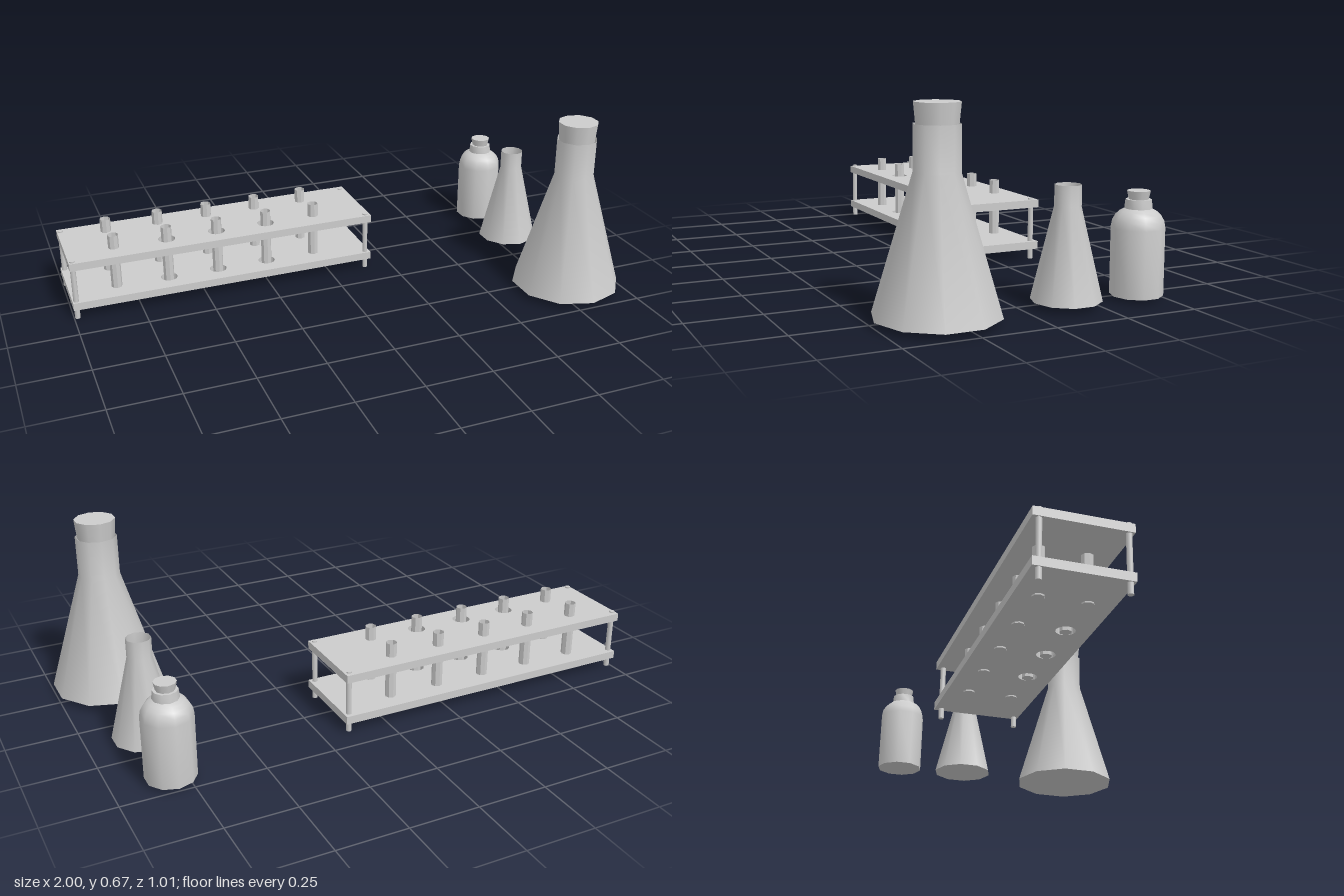
import * as THREE from 'three';
import { toCreasedNormals } from 'three/addons/utils/BufferGeometryUtils.js';

const grey = new THREE.MeshStandardMaterial({ color: 0xcccccc });
const glass = new THREE.MeshStandardMaterial({ color: 0xcccccc, side: THREE.DoubleSide });

function part(parent, name, geometry, material, x, y, z) {
  const mesh = new THREE.Mesh(geometry, material);
  mesh.name = name;
  mesh.position.set(x, y, z);
  parent.add(mesh);
  return mesh;
}

// Faceted vessel from [radius, height] pairs, smooth round the sides, crisp at the rims
function turned(profile, sides = 10) {
  const points = profile.map(([r, y]) => new THREE.Vector2(r, y));
  return toCreasedNormals(new THREE.LatheGeometry(points, sides), 0.7);
}

function stopper(parent, rBottom, rTop, y0, y1, z) {
  const h = y1 - y0;
  part(parent, 'stopper', new THREE.CylinderGeometry(rTop, rBottom, h, 10), grey, 0.803, y0 + h / 2, z);
}

const tubeX = [-0.825, -0.627, -0.435, -0.24, -0.047];
const tubeZ = [-0.347, -0.194];
const plate = { x0: -1, x1: 0.165, z0: -0.422, z1: -0.11, t: 0.029 };

// Rack shelf, with wide openings round the middle tubes of the front row
function shelfGeometry() {
  const shape = new THREE.Shape();
  shape.moveTo(plate.x0, -plate.z1);
  shape.lineTo(plate.x1, -plate.z1);
  shape.lineTo(plate.x1, -plate.z0);
  shape.lineTo(plate.x0, -plate.z0);
  shape.closePath();
  for (const x of tubeX.slice(1, 4)) {
    const hole = new THREE.Path();
    hole.absarc(x, -tubeZ[1], 0.032, 0, Math.PI * 2, true);
    shape.holes.push(hole);
  }
  const geometry = new THREE.ExtrudeGeometry(shape, { depth: plate.t, bevelEnabled: false, curveSegments: 8 });
  return geometry.rotateX(-Math.PI / 2);
}

function createRack() {
  const rack = new THREE.Group();
  rack.name = 'testTubeRack';

  const shelf = shelfGeometry();
  part(rack, 'lowerShelf', shelf, grey, 0, 0.038, 0);
  part(rack, 'upperShelf', shelf, grey, 0, 0.197, 0);

  // Corner posts run through both shelves and stand on the ground
  const post = new THREE.CylinderGeometry(0.01, 0.01, 0.231, 8);
  for (const x of [-0.987, 0.147])
    for (const z of [-0.399, -0.126]) part(rack, 'post', post, grey, x, 0.1155, z);

  // Open-topped tubes in two rows
  const tube = turned([[0, 0], [0.02, 0], [0.02, 0.244]], 8);
  for (const x of tubeX)
    for (const z of tubeZ) part(rack, 'testTube', tube, glass, x, 0.033, z);
  return rack;
}

export function createModel() {
  const model = new THREE.Group();
  model.name = 'laboratoryGlassware';
  model.add(createRack());

  // Large stoppered flask
  const large = new THREE.Group();
  large.name = 'largeFlask';
  part(large, 'flaskBody', turned([[0, 0.022], [0.203, 0.022], [0.074, 0.457], [0.074, 0.601]]), glass, 0.803, 0, 0.302);
  stopper(large, 0.066, 0.073, 0.595, 0.666, 0.302);
  model.add(large);

  // Small open flask
  const small = new THREE.Group();
  small.name = 'smallFlask';
  part(small, 'flaskBody', turned([[0, 0.022], [0.115, 0.022], [0.043, 0.323], [0.043, 0.392]]), glass, 0.803, 0, -0.151);
  model.add(small);

  // Round-shouldered bottle
  const bottle = new THREE.Group();
  bottle.name = 'bottle';
  const profile = [[0, 0.012], [0.087, 0.012], [0.087, 0.235], [0.083, 0.258], [0.073, 0.276],
    [0.06, 0.289], [0.045, 0.297], [0.042, 0.327], [0.03, 0.327]];
  part(bottle, 'bottleBody', turned(profile), glass, 0.803, 0, -0.418);
  stopper(bottle, 0.031, 0.038, 0.322, 0.355, -0.418);
  model.add(bottle);

  return model;
}
